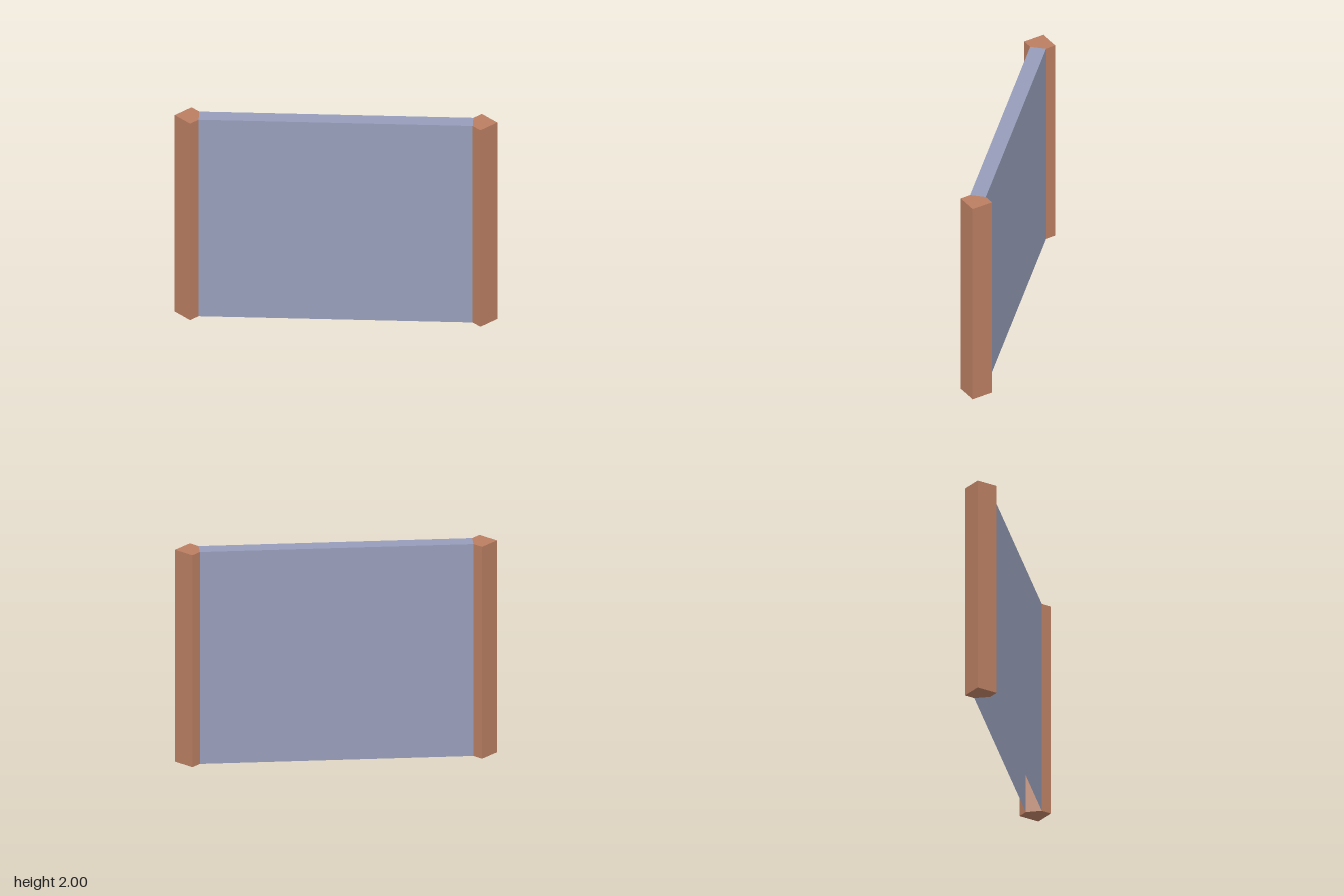
import * as THREE from 'three';

const POST = 0.2, CHAMFER = 0.1, HEIGHT = 2;

export function createModel() {
  const model = new THREE.Group();
  model.name = 'diagonalWall';

  const postMaterial = new THREE.MeshStandardMaterial({ color: 0xba7e62 });
  postMaterial.name = 'terracotta';
  const panelMaterial = new THREE.MeshStandardMaterial({ color: 0x969db9, side: THREE.DoubleSide });
  panelMaterial.name = 'slateBlue';

  // Square corner posts, chamfered where the wall meets them
  const inner = -1 + POST;
  const section = new THREE.Shape([
    new THREE.Vector2(-1, -1),
    new THREE.Vector2(inner, -1),
    new THREE.Vector2(inner, inner - CHAMFER),
    new THREE.Vector2(inner - CHAMFER, inner),
    new THREE.Vector2(-1, inner),
  ]);
  const postGeometry = new THREE.ExtrudeGeometry(section, { depth: HEIGHT, bevelEnabled: false });
  postGeometry.rotateX(-Math.PI / 2);
  ['rightFrontPost', 'leftBackPost'].forEach((name, i) => {
    const post = new THREE.Mesh(postGeometry, postMaterial);
    post.name = name;
    post.rotation.y = i * Math.PI;
    model.add(post);
  });

  // Hollow wall between the posts: two faces and a top, open underneath
  const length = (2 - 2 * POST + CHAMFER) * Math.SQRT2;
  const thickness = CHAMFER * Math.SQRT2;
  const wall = new THREE.Group();
  wall.name = 'wall';
  wall.rotation.y = Math.PI / 4;
  const faceGeometry = new THREE.PlaneGeometry(length, HEIGHT);
  faceGeometry.translate(0, HEIGHT / 2, thickness / 2);
  ['wallFrontFace', 'wallBackFace'].forEach((name, i) => {
    const face = new THREE.Mesh(faceGeometry, panelMaterial);
    face.name = name;
    face.rotation.y = i * Math.PI;
    wall.add(face);
  });
  const topGeometry = new THREE.PlaneGeometry(length, thickness);
  topGeometry.rotateX(-Math.PI / 2);
  const top = new THREE.Mesh(topGeometry, panelMaterial);
  top.name = 'wallTop';
  top.position.y = HEIGHT;
  wall.add(top);
  model.add(wall);

  return model;
}
